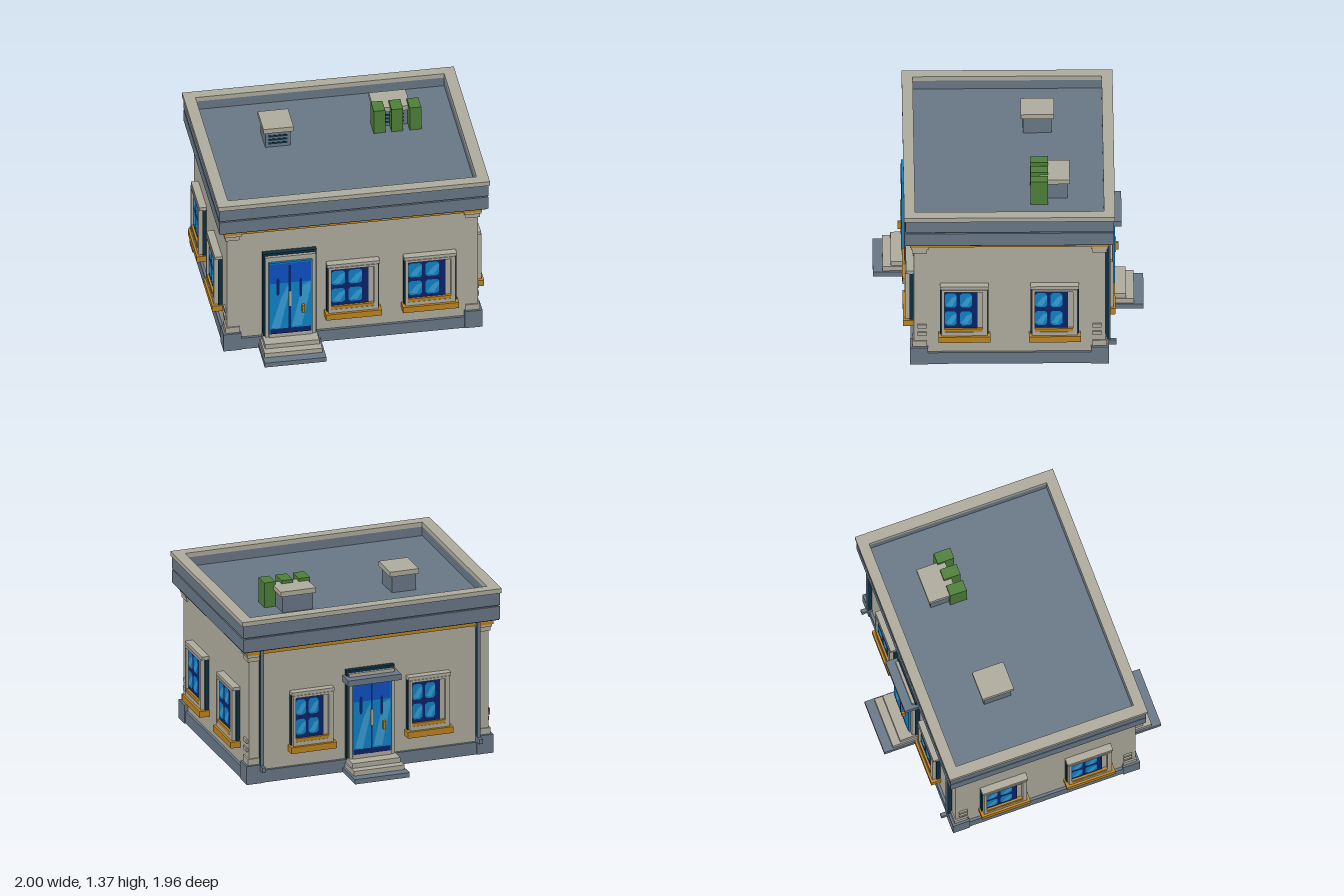
import * as THREE from 'three';

const mat = (name, color) => {
  const m = new THREE.MeshStandardMaterial({ color });
  m.name = name;
  return m;
};

export function createModel() {
  const stone = mat('stone', 0xb1ada0), slate = mat('slate', 0x6a7988), ochre = mat('ochre', 0xc0861f);
  const green = mat('green', 0x4f8139), teal = mat('dark teal', 0x0d3042), navy = mat('navy', 0x0b2368);
  const blue = mat('blue', 0x0f84cb), royal = mat('royal blue', 0x0f52c6), light = mat('light blue', 0x38a0d8);

  const model = new THREE.Group();
  model.name = 'building';

  // Box between two corners
  const box = (parent, name, m, x0, x1, y0, y1, z0, z1) => {
    const mesh = new THREE.Mesh(new THREE.BoxGeometry(x1 - x0, y1 - y0, z1 - z0), m);
    mesh.position.set((x0 + x1) / 2, (y0 + y1) / 2, (z0 + z1) / 2);
    mesh.name = name;
    parent.add(mesh);
    return mesh;
  };
  // Box centred on x and z
  const slab = (name, m, hx, hz, y0, y1) => box(model, name, m, -hx, hx, y0, y1, -hz, hz);

  // Flat polygon facing +z
  const plate = (parent, name, m, pts, z) => {
    const mesh = new THREE.Mesh(new THREE.ShapeGeometry(new THREE.Shape(pts.map(p => new THREE.Vector2(...p)))), m);
    mesh.position.z = z;
    mesh.name = name;
    parent.add(mesh);
  };
  const rect = (x0, x1, y0, y1) => [[x0, y0], [x1, y0], [x1, y1], [x0, y1]];
  // Rectangle with clipped corners
  const clipped = (x0, x1, y0, y1, c) => [[x0 + c, y0], [x1 - c, y0], [x1, y0 + c], [x1, y1 - c],
    [x1 - c, y1], [x0 + c, y1], [x0, y1 - c], [x0, y0 + c]];

  // Extruded frame: outer rectangle with a rectangular hole
  const frameGeo = (outer, inner, depth) => {
    const v = a => rect(...a).map(p => new THREE.Vector2(...p));
    const s = new THREE.Shape(v(outer));
    s.holes.push(new THREE.Path(v(inner).reverse()));
    return new THREE.ExtrudeGeometry(s, { depth, bevelEnabled: false });
  };
  const frame = (parent, name, m, outer, inner, z0, z1) => {
    const mesh = new THREE.Mesh(frameGeo(outer, inner, z1 - z0), m);
    mesh.position.z = z0;
    mesh.name = name;
    parent.add(mesh);
  };
  const parapet = (name, hx, hz, y0, y1, m) => {
    const mesh = new THREE.Mesh(frameGeo([-hx, hx, -hz, hz], [-0.915, 0.915, -0.685, 0.685], y1 - y0), m);
    mesh.rotation.x = -Math.PI / 2;
    mesh.position.y = y0;
    mesh.name = name;
    model.add(mesh);
  };

  // Walls, plinth and cornice
  slab('walls', stone, 0.925, 0.695, 0.05, 1.03);
  slab('plinth', slate, 0.945, 0.715, 0, 0.095);
  slab('ochreMoulding', ochre, 0.945, 0.715, 1.0, 1.042);
  slab('soffit', teal, 0.985, 0.75, 1.038, 1.046);
  slab('lowerCornice', slate, 0.99, 0.755, 1.046, 1.145);
  slab('roofDeck', slate, 0.975, 0.74, 1.145, 1.18);
  parapet('upperCornice', 0.99, 0.755, 1.155, 1.25, slate);
  parapet('parapetCap', 1.0, 0.765, 1.25, 1.285, stone);

  // Corner blocks, capitals and side bricks
  for (const sx of [-1, 1]) for (const sz of [-1, 1]) {
    const block = (name, m, hx, hz, w, y0, y1) => {
      const b = box(model, name, m, -w / 2, w / 2, y0, y1, -w / 2, w / 2);
      b.position.x = sx * (hx - w / 2);
      b.position.z = sz * (hz - w / 2);
    };
    block('cornerPlinth', slate, 0.953, 0.722, 0.13, 0, 0.143);
    block('cornerFoot', stone, 0.937, 0.705, 0.105, 0.143, 0.19);
    block('capitalLower', stone, 0.937, 0.705, 0.105, 0.945, 0.985);
    block('capitalUpper', stone, 0.945, 0.715, 0.125, 0.98, 1.0);
    block('mouldingCorner', ochre, 0.951, 0.721, 0.13, 1.0, 1.038);
    for (const y of [0.235, 0.3]) {
      const b = box(model, 'brick', stone, -0.01, 0.01, y, y + 0.03, -0.032, 0.032);
      b.position.x = sx * 0.927;
      b.position.z = sz * 0.635;
    }
  }

  // Groups for wall fittings, local +z pointing out of the wall
  const fitting = (name, x, z, ry) => {
    const g = new THREE.Group();
    g.name = name;
    g.position.set(x, 0, z);
    g.rotation.y = ry;
    model.add(g);
    return g;
  };

  // Window, with w as the sill width
  const addWindow = (x, z, ry, w) => {
    const g = fitting('window', x, z, ry), h = w / 2, f = h - 0.022;
    const l = -h + 0.042, r = h - 0.055, e = r - 0.038;
    box(g, 'windowSurround', teal, -h + 0.012, h - 0.012, 0.26, 0.66, -0.01, 0.03);
    box(g, 'windowBacking', stone, -f, f, 0.27, 0.655, 0.02, 0.036);
    frame(g, 'windowFrame', stone, [-f, f, 0.265, 0.655], [l, r, 0.295, 0.637], 0.03, 0.06);
    box(g, 'lintel', stone, -h + 0.012, h - 0.012, 0.655, 0.68, -0.01, 0.055);
    box(g, 'sill', ochre, -h, h, 0.215, 0.263, -0.01, 0.076);
    box(g, 'innerSill', ochre, l, r, 0.295, 0.32, 0.03, 0.058);
    box(g, 'glass', navy, l, e, 0.32, 0.635, 0.034, 0.042);
    // Four panes with a diagonal gleam
    const pw = (e - l) * 0.36;
    for (const px of [l + 0.003, l + (e - l) * 0.47]) for (const py of [0.345, 0.497]) {
      plate(g, 'pane', blue, clipped(px, px + pw, py, py + 0.12, 0.016), 0.0435);
      plate(g, 'gleam', light, [[px + pw * 0.1, py + 0.02], [px + pw * 0.6, py + 0.01],
        [px + pw * 0.97, py + 0.07], [px + pw * 0.97, py + 0.1], [px + pw * 0.6, py + 0.085]], 0.045);
    }
  };
  for (const x of [-0.002, 0.565]) addWindow(x, 0.695, 0, 0.412);
  for (const x of [-0.45, 0.45]) addWindow(x, -0.695, Math.PI, 0.352);
  for (const s of [-1, 1]) for (const z of [-0.328, 0.328]) addWindow(s * 0.925, z, s * Math.PI / 2, 0.375);

  // Door with half width w, leaf top y and surround top t
  const addDoor = (x, z, ry, w, y, t) => {
    const g = fitting('door', x, z, ry), q = w * 0.81, b = 0.145;
    box(g, 'doorSurround', teal, -w, w, 0.1, t, -0.01, 0.038);
    frame(g, 'doorFrame', stone, [-w + 0.013, w - 0.01, 0.11, t - 0.02], [-q, q, 0.115, y], 0.03, 0.06);
    box(g, 'threshold', stone, -q, q, 0.1, b, 0.03, 0.07);
    box(g, 'doorLeaf', blue, -q, q, b, y, 0.03, 0.078);
    const H = y - b, at = p => p.map(([u, v]) => [u * q, b + v * H]);
    plate(g, 'upperGlass', royal, at(rect(-0.97, 0.92, 0.71, 0.985)), 0.0795);
    plate(g, 'kickStrip', navy, at(rect(-0.95, 0.92, 0, 0.07)), 0.0795);
    plate(g, 'leftGleam', light, at([[-0.9, 0.09], [-0.5, 0.07], [-0.1, 0.55], [-0.1, 0.69], [-0.45, 0.5]]), 0.0795);
    plate(g, 'rightGleam', light, at([[0.05, 0.09], [0.5, 0.09], [0.9, 0.6], [0.9, 0.7], [0.55, 0.66]]), 0.0795);
    plate(g, 'centreGap', navy, at(rect(-0.1, 0, 0, 0.96)), 0.081);
    plate(g, 'leftShade', navy, at(clipped(-0.67, -0.53, 0.54, 0.78, 0.03)), 0.081);
    plate(g, 'rightShade', navy, at(clipped(0.4, 0.52, 0.5, 0.76, 0.03)), 0.081);
    box(g, 'pullPlate', stone, -0.016, 0.002, b + H * 0.38, b + H * 0.59, 0.076, 0.085);
    box(g, 'handle', ochre, q * 0.5, q * 0.5 + 0.02, 0.325, 0.385, 0.07, 0.106);
  };
  addDoor(-0.467, 0.695, 0, 0.197, 0.76, 0.82);
  addDoor(0, -0.695, Math.PI, 0.185, 0.72, 0.79);
  box(model, 'doorHood', slate, -0.205, 0.205, 0.7, 0.745, -0.82, -0.69);

  // Steps
  box(model, 'frontStepLow', slate, -0.695, -0.24, 0, 0.037, 0.6, 0.98);
  box(model, 'frontStepMiddle', stone, -0.683, -0.258, 0.037, 0.073, 0.6, 0.91);
  box(model, 'frontStepTop', stone, -0.67, -0.27, 0.073, 0.11, 0.6, 0.85);
  box(model, 'backStepLow', slate, -0.21, 0.21, 0, 0.037, -0.98, -0.6);
  box(model, 'backStepMiddle', stone, -0.197, 0.193, 0.037, 0.073, -0.91, -0.6);
  box(model, 'backStepTop', stone, -0.186, 0.183, 0.073, 0.11, -0.85, -0.6);

  // Drainpipes on the back wall
  for (const x of [-0.837, 0.837]) {
    box(model, 'drainpipe', teal, x - 0.013, x + 0.013, 0.1, 1.03, -0.727, -0.69);
    box(model, 'drainpipeFace', slate, x - 0.013, x + 0.013, 0.1, 1.03, -0.732, -0.727);
    box(model, 'drainpipeFoot', slate, x - 0.014, x + 0.014, 0.1, 0.137, -0.775, -0.69);
  }

  // Roof vents
  for (const [x0, x1, z0, z1] of [[-0.518, -0.295, -0.335, -0.093], [0.317, 0.587, -0.44, -0.225]]) {
    box(model, 'ventBody', slate, x0 + 0.017, x1 - 0.02, 1.17, 1.31, z0 + 0.017, z1 - 0.017);
    box(model, 'ventCap', stone, x0, x1, 1.31, 1.348, z0, z1);
    for (const y of [1.205, 1.235, 1.265])
      box(model, 'louvre', teal, x0 + 0.04, x1 - 0.043, y, y + 0.015, z1 - 0.019, z1 - 0.014);
  }

  // Rooftop hedge blocks
  for (const x of [0.305, 0.437, 0.57]) box(model, 'hedge', green, x, x + 0.085, 1.17, 1.372, -0.283, -0.155);

  return model;
}
